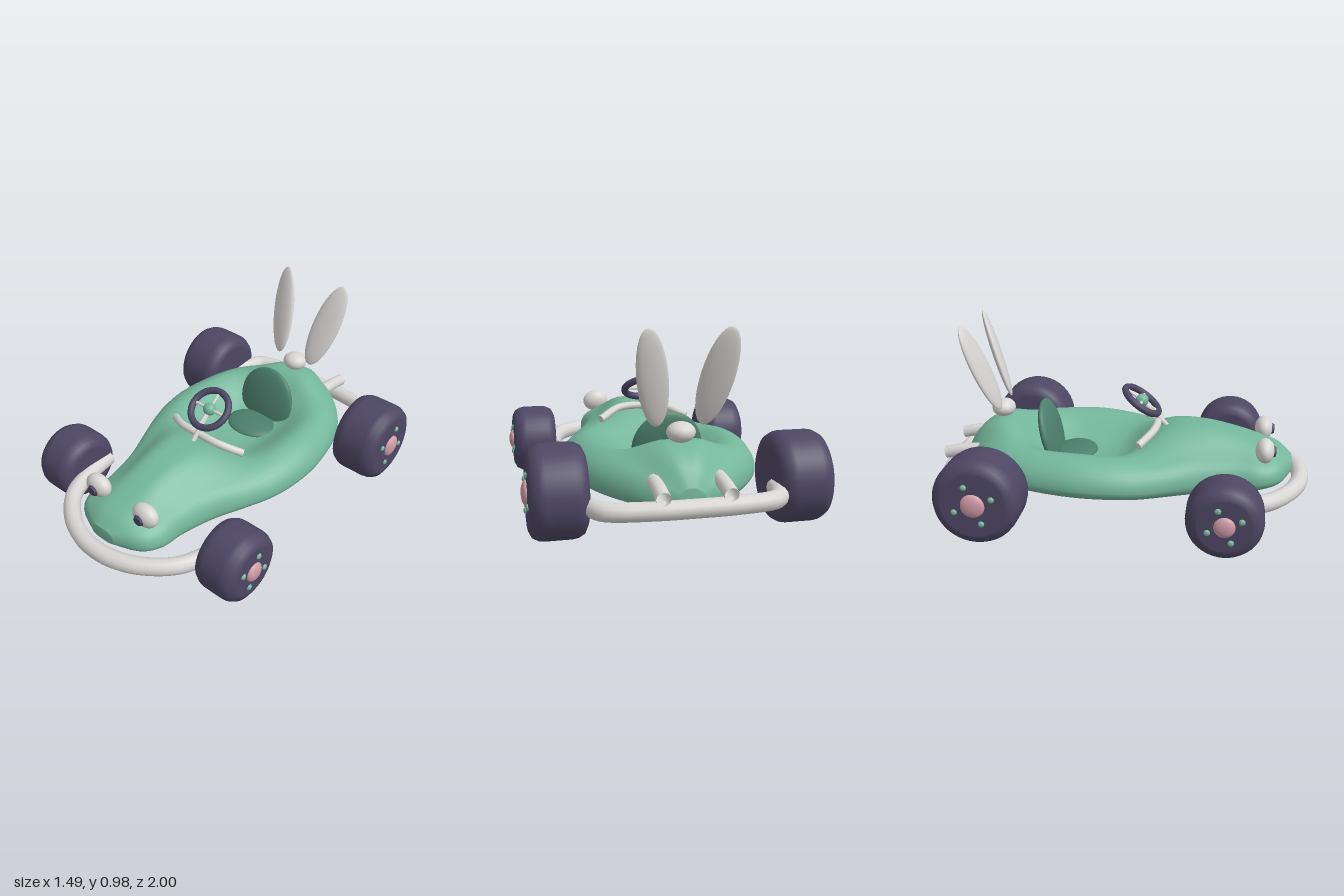
import * as THREE from 'three';

const mat = (name, color, side = THREE.FrontSide) => {
  const m = new THREE.MeshStandardMaterial({ color, side });
  m.name = name;
  return m;
};
const V = (x, y, z) => new THREE.Vector3(x, y, z);

export function createModel() {
  const green = mat('bodyGreen', 0x74b69c);
  const darkGreen = mat('seatGreen', 0x4c7f6d);
  const rubber = mat('darkRubber', 0x4d4763);
  const white = mat('offWhite', 0xd8d6d4, THREE.DoubleSide);
  const pink = mat('hubPink', 0xd09ba7);

  const model = new THREE.Group();
  model.name = 'kart';

  const add = (name, geo, material, pos = [0, 0, 0], parent = model) => {
    const m = new THREE.Mesh(geo, material);
    m.name = name;
    m.position.set(...pos);
    parent.add(m);
    return m;
  };
  const ball = (name, material, pos, radii, parent) => {
    const m = add(name, new THREE.SphereGeometry(1, 24, 16), material, pos, parent);
    m.scale.set(...radii);
    return m;
  };
  // Round tube through points, with closed ends
  const tube = (name, pts, r, parent = model, capped = true) => {
    const curve = new THREE.CatmullRomCurve3(pts, false, 'centripetal');
    add(name, new THREE.TubeGeometry(curve, pts.length * 5, r, 12), white, [0, 0, 0], parent);
    if (capped) for (const t of [0, 1]) {
      const cap = add(name + 'End', new THREE.CircleGeometry(r, 12), white, curve.getPoint(t).toArray(), parent);
      cap.quaternion.setFromUnitVectors(V(0, 0, 1), curve.getTangent(t).multiplyScalar(t ? 1 : -1));
    }
  };

  add('body', bodyGeometry(), green);

  // Seat back and pan
  ball('seatBack', darkGreen, [0, 0.36, -0.43], [0.18, 0.19, 0.042]).rotation.x = -0.25;
  ball('seatPan', darkGreen, [0, 0.255, -0.29], [0.15, 0.035, 0.12]);

  // Eyes
  for (const s of [-1, 1]) {
    ball('eye', white, [s * 0.168, 0.382, 0.75], [0.078, 0.064, 0.05]);
    const pupil = add('pupil', new THREE.CylinderGeometry(0.026, 0.034, 0.014, 8), rubber, [s * 0.165, 0.378, 0.8]);
    pupil.rotation.x = Math.PI / 2;
  }

  // Ears on a rounded base
  ball('earBase', white, [0, 0.492, -0.7], [0.07, 0.05, 0.065]);
  for (const s of [-1, 1]) {
    const ear = ball('ear', white, [s * 0.152, 0.757, -0.77], [0.079, 0.256, 0.026]);
    const up = V(s * 0.17, 0.92, -0.33).normalize();
    const out = V(1, 0, -s * 0.25).addScaledVector(up, -V(1, 0, -s * 0.25).dot(up)).normalize();
    ear.quaternion.setFromRotationMatrix(new THREE.Matrix4().makeBasis(out, up, out.clone().cross(up)));
  }

  // Steering wheel: ring, four spokes, hub and column
  const steering = new THREE.Group();
  steering.name = 'steeringWheel';
  steering.position.set(0, 0.57, 0.08);
  steering.rotation.x = -0.95;
  model.add(steering);
  add('steeringRing', new THREE.TorusGeometry(0.11, 0.019, 12, 32), rubber, [0, 0, 0], steering);
  add('spoke', new THREE.CylinderGeometry(0.009, 0.009, 0.22, 8), white, [0, 0, 0], steering);
  add('spoke', new THREE.CylinderGeometry(0.009, 0.009, 0.22, 8), white, [0, 0, 0], steering).rotation.z = Math.PI / 2;
  ball('steeringHub', green, [0, 0, 0], [0.036, 0.036, 0.036], steering);
  tube('steeringColumn', [V(0, 0.56, 0.09), V(0, 0.43, 0.22)], 0.014);

  // Dashboard bar and bumpers, each given by half of its path
  const mirrored = (half) => [
    ...half.map(([x, y, z]) => V(-x, y, z)),
    ...half.slice(0, -1).reverse().map(([x, y, z]) => V(x, y, z)),
  ];
  tube('dashboardBar', mirrored([[0.245, 0.4, 0.09], [0.13, 0.447, 0.16], [0, 0.455, 0.17]]), 0.021);
  tube('frontBumper', mirrored([[0.48, 0.185, 0.42], [0.445, 0.185, 0.62], [0.38, 0.185, 0.765],
    [0.24, 0.185, 0.885], [0.1, 0.185, 0.94], [0, 0.185, 0.95]]), 0.046);
  tube('rearBumper', mirrored([[0.47, 0.2, -0.72], [0.45, 0.2, -0.82], [0.4, 0.2, -0.905],
    [0.2, 0.2, -0.945], [0, 0.2, -0.95]]), 0.045);

  // Open exhaust pipes
  for (const s of [-1, 1])
    tube('exhaust', [V(s * 0.155, 0.295, -0.8), V(s * 0.155, 0.285, -0.9), V(s * 0.155, 0.265, -0.995)], 0.035, model, false);

  // Wheels: tyre, hub and four studs
  for (const s of [-1, 1]) {
    for (const [name, r, z, half, x] of [['frontWheel', 0.192, 0.56, 0.122, 0.58], ['rearWheel', 0.226, -0.665, 0.135, 0.585]]) {
      const wheel = new THREE.Group();
      wheel.name = name;
      wheel.position.set(s * x, r + 0.01, z);
      model.add(wheel);
      const side = [[0, half], [r - 0.062, half], [r - 0.05, half - 0.001], [r - 0.02, half - 0.016],
        [r - 0.004, half - 0.045], [r, half - 0.07]];
      const profile = [...side.map(([a, b]) => new THREE.Vector2(a, -b)),
        ...side.slice().reverse().map(([a, b]) => new THREE.Vector2(a, b))];
      add('tyre', new THREE.LatheGeometry(profile, 40), rubber, [0, 0, 0], wheel).rotation.z = -Math.PI / 2;
      ball('hub', pink, [s * half, 0, 0], [0.025, r * 0.275, r * 0.275], wheel);
      for (let i = 0; i < 4; i++) {
        const a = 1.96 + i * Math.PI / 2;
        ball('stud', green, [s * half, Math.sin(a) * r * 0.46, Math.cos(a) * r * 0.46], [0.012, 0.016, 0.016], wheel);
      }
    }
  }
  return model;
}

// Lofted body: stations of z, then half width, bottom, centre-line height, side height
function bodyGeometry() {
  const stations = [
    [-0.9, 0.06, 0.19, 0.27, 0.26],
    [-0.86, 0.15, 0.17, 0.34, 0.3],
    [-0.75, 0.285, 0.155, 0.43, 0.36],
    [-0.62, 0.39, 0.15, 0.44, 0.39],
    [-0.5, 0.445, 0.145, 0.34, 0.4],
    [-0.38, 0.475, 0.14, 0.265, 0.405],
    [-0.2, 0.5, 0.137, 0.255, 0.405],
    [0, 0.48, 0.133, 0.29, 0.385],
    [0.1, 0.45, 0.13, 0.37, 0.37],
    [0.22, 0.4, 0.13, 0.44, 0.365],
    [0.4, 0.32, 0.13, 0.46, 0.37],
    [0.6, 0.272, 0.14, 0.425, 0.36],
    [0.75, 0.262, 0.165, 0.375, 0.34],
    [0.84, 0.2, 0.19, 0.34, 0.32],
    [0.9, 0.07, 0.22, 0.29, 0.29],
  ];
  const spline = new THREE.CubicInterpolant(stations.map((s) => s[0]), stations.flatMap((s) => s.slice(1)), 4);
  const rows = 56, cols = 56, pos = [], index = [];
  for (let i = 0; i <= rows; i++) {
    const z = -0.9 * Math.cos((i / rows) * Math.PI);
    const [w, bottom, centre, rim] = spline.evaluate(z);
    const mid = bottom + (rim - bottom) * 0.38;
    const k = i === 0 || i === rows ? 0 : 1;
    for (let j = 0; j < cols; j++) {
      const a = (j / cols) * Math.PI * 2, u = Math.cos(a);
      const top = THREE.MathUtils.lerp(centre, rim, THREE.MathUtils.smoothstep(Math.abs(u), 0.2, 0.78));
      const bulge = Math.sqrt(Math.max(0, 1 - u ** 4));
      const y = Math.sin(a) >= 0 ? mid + (top - mid) * bulge : mid - (mid - bottom) * bulge;
      pos.push(k * w * u, mid + k * (y - mid), z);
      if (i < rows) {
        const n = (j + 1) % cols, p = i * cols, q = p + cols;
        index.push(p + j, p + n, q + j, p + n, q + n, q + j);
      }
    }
  }
  const geo = new THREE.BufferGeometry();
  geo.setAttribute('position', new THREE.Float32BufferAttribute(pos, 3));
  geo.setIndex(index);
  geo.computeVertexNormals();
  return geo;
}
